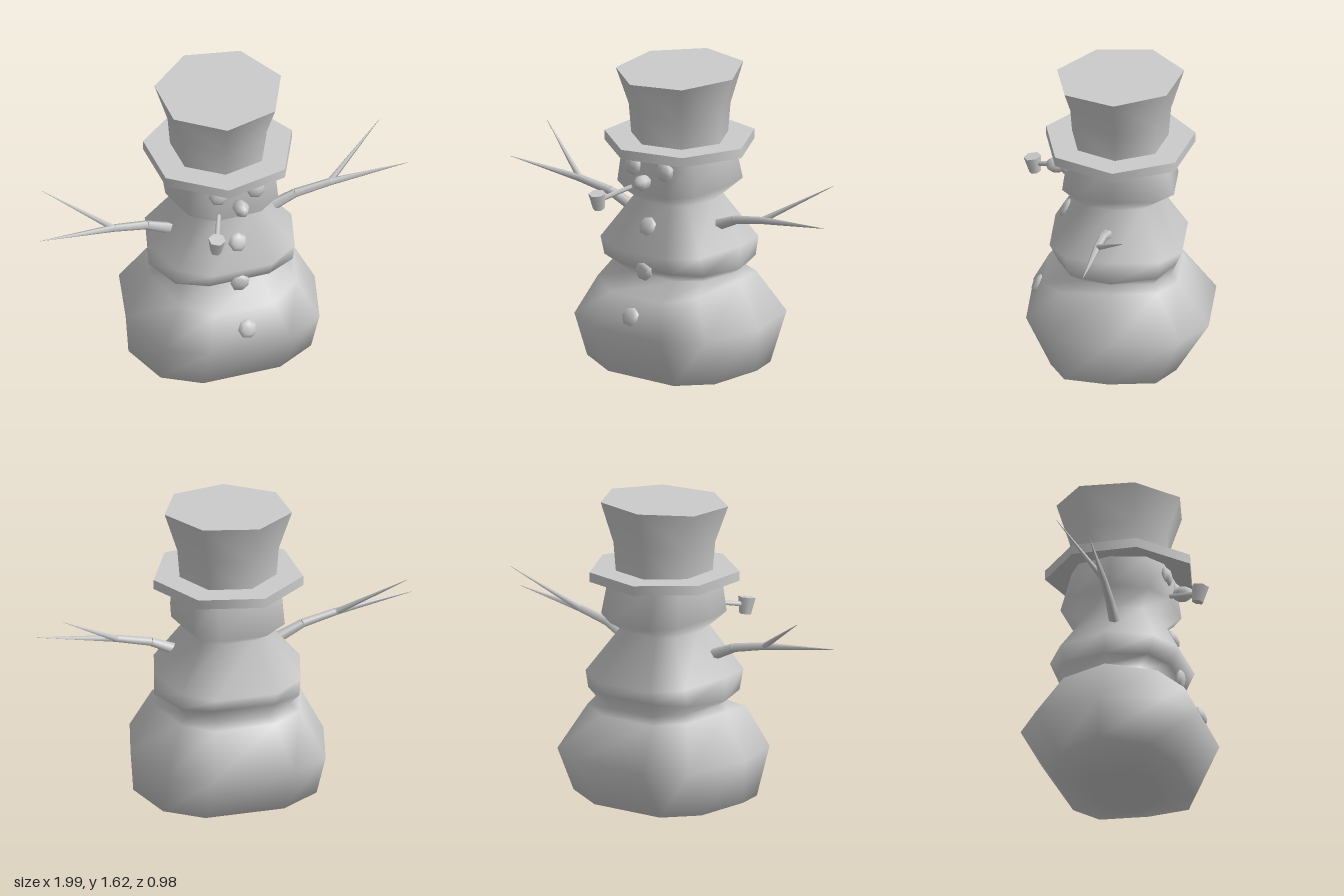
import * as THREE from 'three';

const grey = new THREE.MeshStandardMaterial({ color: 0xcccccc, side: THREE.DoubleSide });
const v = (x, y, z) => new THREE.Vector3(x, y, z);

function part(name, geometry, parent, x = 0, y = 0, z = 0) {
  const mesh = new THREE.Mesh(geometry, grey);
  mesh.name = name;
  mesh.position.set(x, y, z);
  parent.add(mesh);
  return mesh;
}

// Smooth skin over stacked ten-sided rings, listed from bottom to top
function loft(rings) {
  const outline = [[1, 0], [0.82, 0.73], [0.42, 1], [-0.42, 1], [-0.82, 0.73],
    [-1, 0], [-0.82, -0.73], [-0.42, -1], [0.42, -1], [0.82, -0.73]];
  const n = outline.length, pos = [], index = [];
  for (const [rx, ySide, front, yFront, back, yBack] of rings) {
    for (const [ox, oz] of outline) {
      const yEnd = oz > 0 ? yFront : yBack;
      const w = Math.abs(oz) ** 2;
      pos.push(0.01 + rx * ox, ySide + (yEnd - ySide) * w, oz * (oz > 0 ? front : back));
    }
  }
  for (let r = 0; r < rings.length - 1; r++) {
    for (let i = 0; i < n; i++) {
      const a = r * n + i, b = r * n + (i + 1) % n;
      index.push(a, a + n, b, b, a + n, b + n);
    }
  }
  const g = new THREE.BufferGeometry();
  g.setAttribute('position', new THREE.Float32BufferAttribute(pos, 3));
  g.setIndex(index);
  g.computeVertexNormals();
  return g;
}

// Tapered stick between two points
function stick(name, parent, from, to, r0, r1, sides = 5) {
  const d = to.clone().sub(from);
  const mesh = part(name, new THREE.CylinderGeometry(r1, r0, d.length(), sides), parent);
  mesh.position.copy(from).addScaledVector(d, 0.5);
  mesh.quaternion.setFromUnitVectors(v(0, 1, 0), d.normalize());
  return mesh;
}

// Small flattened lump facing +z, tilted by rotX
function lump(name, parent, x, y, z, r, depth, rotX = 0) {
  const g = new THREE.SphereGeometry(1, 7, 5).rotateX(Math.PI / 2).scale(r, r, depth);
  part(name, g, parent, x, y, z).rotation.x = rotX;
}

export function createModel() {
  const root = new THREE.Group();
  root.name = 'snowman';

  // Three snowballs as one skin: half width, side y, front z, front y, back z, back y
  part('body', loft([
    [0.001, 0.03, 0.001, 0.03, 0.001, 0.03],
    [0.24, 0, 0.15, 0.02, 0.15, 0.02],
    [0.495, 0.09, 0.32, 0.035, 0.32, 0.035],
    [0.51, 0.31, 0.445, 0.3, 0.485, 0.3],
    [0.385, 0.55, 0.36, 0.475, 0.32, 0.51],
    [0.33, 0.575, 0.21, 0.55, 0.285, 0.545],
    [0.385, 0.61, 0.285, 0.61, 0.315, 0.62],
    [0.385, 0.73, 0.33, 0.7, 0.345, 0.69],
    [0.21, 0.94, 0.2, 0.94, 0.2, 0.935],
    [0.295, 1.03, 0.27, 1.0, 0.3, 1.0],
    [0.275, 1.21, 0.24, 1.21, 0.24, 1.21],
  ]), root);

  // Seven-sided hat with a flared, tilted crown
  const hat = new THREE.Group();
  hat.name = 'hat';
  root.add(hat);
  part('hatBrim', new THREE.CylinderGeometry(0.39, 0.39, 0.05, 7).rotateY(Math.PI / 2),
    hat, 0.01, 1.225, -0.01);
  const profile = [[0.25, 1.22], [0.265, 1.4], [0.332, 1.6]].map(p => new THREE.Vector2(...p));
  const crown = new THREE.LatheGeometry(profile, 7).rotateY(Math.PI / 2);
  const lid = new THREE.CircleGeometry(0.332, 7).rotateX(-Math.PI / 2).translate(0, 1.6, 0);
  for (const g of [crown, lid]) {
    const p = g.attributes.position;
    for (let i = 0; i < p.count; i++) {
      if (p.getY(i) > 1.5) p.setY(i, 1.6 + 0.02 * p.getX(i) - 0.045 * p.getZ(i));
    }
  }
  part('hatCrown', crown, hat, 0.01, 0, -0.01);
  part('hatTop', lid, hat, 0.01, 0, -0.01);

  // Face
  for (const x of [-0.09, 0.11]) lump('eye', root, x, 1.135, 0.25, 0.052, 0.03, -0.15);
  lump('nose', root, 0.01, 1.075, 0.31, 0.042, 0.055);

  // Pipe
  const pipe = new THREE.Group();
  pipe.name = 'pipe';
  root.add(pipe);
  stick('pipeStem', pipe, v(-0.08, 1.03, 0.23), v(-0.165, 0.985, 0.43), 0.012, 0.014);
  stick('pipeBowl', pipe, v(-0.17, 0.935, 0.435), v(-0.17, 1.02, 0.45), 0.03, 0.045, 6);

  // Buttons following the slope of the front
  for (const [y, z, tilt] of [[0.83, 0.26, -0.5], [0.6, 0.295, 0.1], [0.385, 0.405, -0.45]]) {
    lump('button', root, 0.01, y, z, 0.052, 0.025, tilt);
  }

  // Forked twig arms
  for (const s of [1, -1]) {
    const arm = new THREE.Group();
    arm.name = s > 0 ? 'leftArm' : 'rightArm';
    root.add(arm);
    const elbow = v(s * 0.4, 0.885, 0.035), fork = v(s * 0.58, 0.92, 0.05);
    stick('upperArm', arm, v(s * 0.25, 0.82, 0.025), elbow, 0.032, 0.024);
    stick('forearm', arm, elbow, fork, 0.024, 0.02);
    stick('longTwig', arm, fork, v(s * 0.995, 0.965, 0.085), 0.02, 0.001);
    stick('shortTwig', arm, fork, v(s * 0.91, 1.125, -0.11), 0.017, 0.001);
  }
  return root;
}
